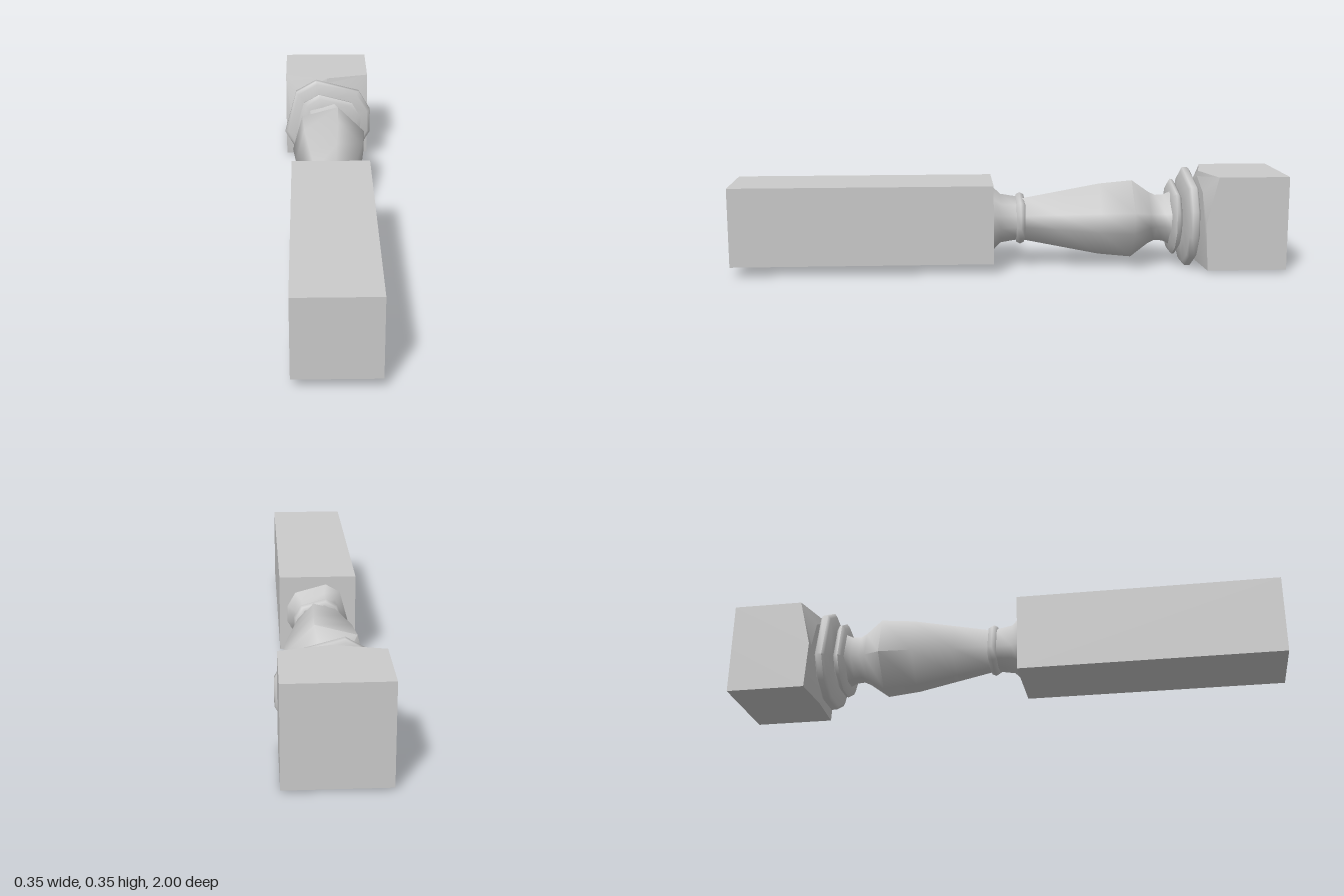
import * as THREE from 'three';
import { toCreasedNormals } from 'three/addons/utils/BufferGeometryUtils.js';

const AXIS_Y = 0.178;
const material = new THREE.MeshStandardMaterial({ color: 0xcccccc });

// Skin over rings of points that run from front (+z) to back (-z)
function loft(name, rings, crease) {
  const n = rings[0].length;
  const index = [];
  for (let i = 0; i < rings.length - 1; i++) {
    for (let j = 0; j < n; j++) {
      const a = i * n + j, b = i * n + (j + 1) % n;
      index.push(a, a + n, b, b, a + n, b + n);
    }
  }
  let geometry = new THREE.BufferGeometry();
  geometry.setAttribute('position', new THREE.Float32BufferAttribute(rings.flat(2), 3));
  geometry.setIndex(index);
  geometry = toCreasedNormals(geometry, crease);
  const mesh = new THREE.Mesh(geometry, material);
  mesh.name = name;
  return mesh;
}

// Turned part: profile of [radius, z], with corners at the given angles
function turned(name, angles, profile) {
  const rings = profile.map(([r, z]) => angles.map((deg) => {
    const a = THREE.MathUtils.degToRad(deg);
    return [r * Math.cos(a), r * Math.sin(a), z];
  }));
  return loft(name, rings, 1.15);
}

export function createModel() {
  const group = new THREE.Group();
  group.name = 'baluster';

  // Long square base
  const base = new THREE.Mesh(new THREE.BoxGeometry(0.282, 0.284, 0.94), material);
  base.name = 'squareBase';
  base.position.z = 0.53;
  group.add(base);

  // Coarse angles for the shaft, finer ones for the flanges
  const shaftAngles = [15, 75, 135, 195, 255, 285, 345];
  const flangeAngles = [15, 45, 105, 135, 195, 225, 255, 285, 315, 345];

  group.add(turned('flaredFoot', flangeAngles, [
    [0.118, 0.065], [0.115, 0.055], [0.09, 0.03], [0.08, -0.03],
  ]));
  group.add(turned('collar', flangeAngles, [
    [0.07, -0.025], [0.088, -0.028], [0.095, -0.042], [0.088, -0.056], [0.075, -0.06],
  ]));
  group.add(turned('vase', shaftAngles, [
    [0.08, -0.05], [0.106, -0.18], [0.136, -0.33], [0.148, -0.45],
    [0.1, -0.515], [0.088, -0.54], [0.09, -0.57], [0.105, -0.6],
  ]));
  group.add(turned('smallRing', flangeAngles, [
    [0.08, -0.59], [0.125, -0.595], [0.14, -0.605], [0.138, -0.615], [0.12, -0.626], [0, -0.626],
  ]));
  group.add(turned('largeRing', flangeAngles, [
    [0, -0.636], [0.1, -0.638], [0.17, -0.644], [0.183, -0.652],
    [0.183, -0.672], [0.172, -0.68], [0, -0.68],
  ]));

  // Square end block whose front corners are cut back
  const outline = [[1, 0], [1, 1], [0, 1], [-1, 1], [-1, 0], [-1, -1], [0, -1], [1, -1]];
  const half = 0.17;
  const square = (scale, z) => outline.map(([x, y]) => [x * half * scale - 0.002, y * half * scale, z]);
  const rim = outline.map(([x, y]) => {
    const corner = x !== 0 && y !== 0;
    return [x * half - 0.002, y * half, corner ? (y > 0 ? -0.745 : -0.712) : -0.703];
  });
  const inner = outline.map(([x, y]) => {
    const s = 0.15 / Math.hypot(x, y);
    return [x * s - 0.002, y * s, -0.7];
  });
  group.add(loft('endBlock', [square(0, -0.7), inner, rim, square(1, -1), square(0, -1)], 0.4));

  group.children.forEach((part) => { part.position.y = AXIS_Y; });
  return group;
}
